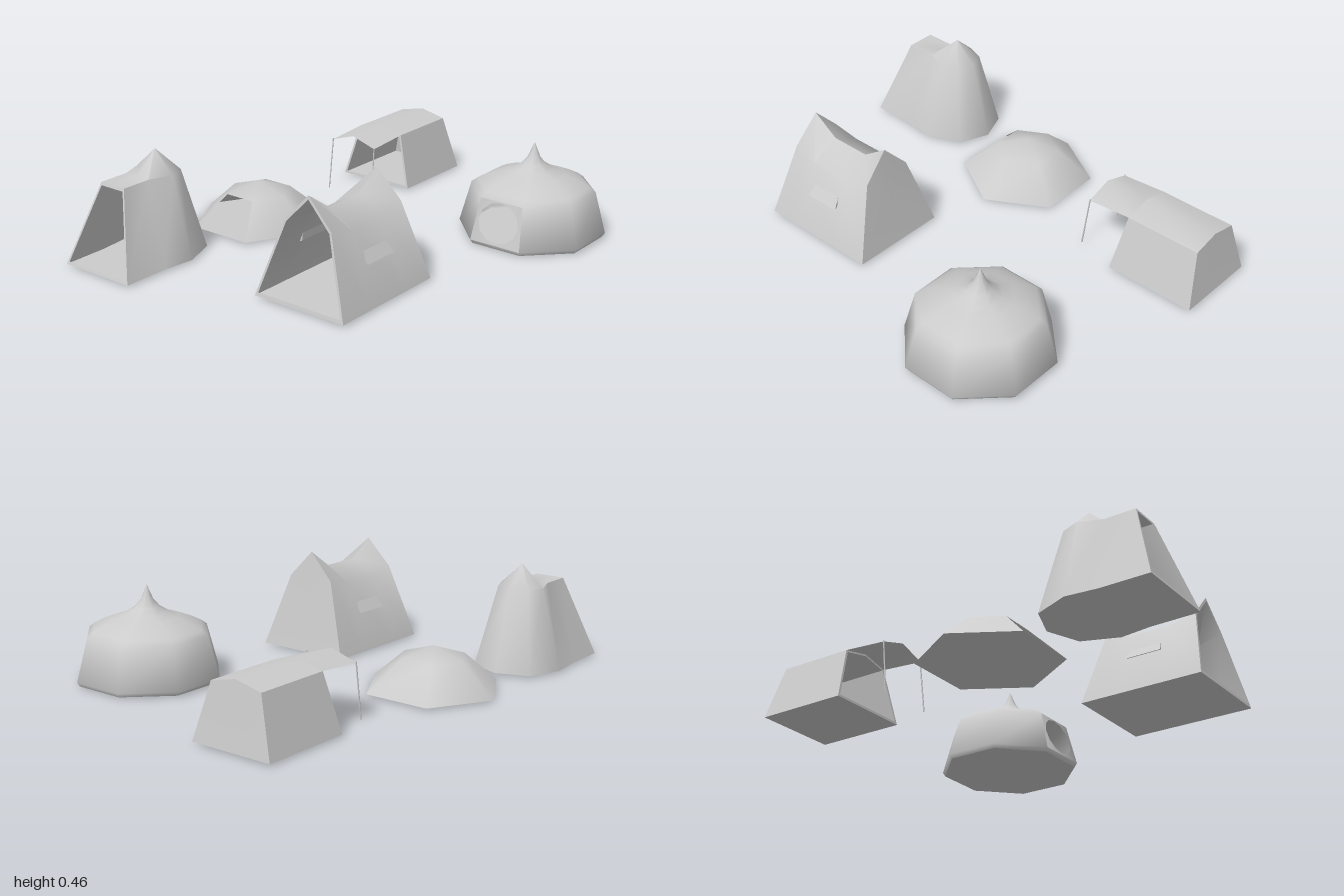
import * as THREE from 'three';
import { toCreasedNormals } from 'three/addons/utils/BufferGeometryUtils.js';
import { ConvexGeometry } from 'three/addons/geometries/ConvexGeometry.js';

const material = new THREE.MeshStandardMaterial({ color: 0xcccccc, side: THREE.DoubleSide });
const BASE = 0.008;

function mesh(name, geometry) {
  const m = new THREE.Mesh(geometry, material);
  m.name = name;
  return m;
}

// Skin between successive rows of points; skip(row, column) leaves a panel open
function loft(rows, { closed = false, crease = 0.8, skip = () => false } = {}) {
  const pos = [];
  const tri = (a, b, c) => {
    const [p, q, r] = [a, b, c].map(v => new THREE.Vector3(...v));
    if (q.sub(p).cross(r.sub(p)).length() > 1e-8) pos.push(...a, ...b, ...c);
  };
  for (let j = 0; j < rows.length - 1; j++) {
    const a = rows[j], b = rows[j + 1], n = a.length;
    for (let i = 0; i < (closed ? n : n - 1); i++) {
      if (skip(j, i)) continue;
      const k = (i + 1) % n;
      tri(a[i], a[k], b[k]);
      tri(a[i], b[k], b[i]);
    }
  }
  const g = new THREE.BufferGeometry();
  g.setAttribute('position', new THREE.Float32BufferAttribute(pos, 3));
  return toCreasedNormals(g, crease);
}

const centre = pts => [0, 1, 2].map(k => pts.reduce((s, p) => s + p[k], 0) / pts.length);

// Flat panel filling an outline
function panel(pts) {
  const c = centre(pts);
  return loft([pts, pts.map(() => c)], { closed: true });
}

// Narrow border around an open doorway
function doorFrame(pts, scale = 0.93) {
  const c = centre(pts);
  return loft([pts, pts.map(p => p.map((v, k) => c[k] + (v - c[k]) * scale))], { closed: true });
}

// Regular ring of points; apothem or radius as given
function ring(cx, cz, y, r, n, start) {
  return Array.from({ length: n }, (_, i) => {
    const t = start + (i / n) * Math.PI * 2;
    return [cx + r * Math.cos(t), y, cz - r * Math.sin(t)];
  });
}

// Gabled cross-section: x, y and half width at base, shoulder and ridge
function gable(cz, [bx, sx, rx], [sy, ry], [bw, sw]) {
  return [[bx, BASE, cz - bw], [sx, sy, cz - sw], [rx, ry, cz], [sx, sy, cz + sw], [bx, BASE, cz + bw]];
}

// Tent with two peaks, a sagging ridge and hooded vents
function twinPeakTent() {
  const g = new THREE.Group();
  g.name = 'twinPeakTent';
  const cz = 0.25;
  const s = [
    gable(cz, [-0.755, -0.69, -0.683], [0.335, 0.455], [0.222, 0.115]),
    gable(cz, [-0.6, -0.57, -0.565], [0.305, 0.375], [0.222, 0.125]),
    gable(cz, [-0.36, -0.38, -0.38], [0.305, 0.375], [0.222, 0.125]),
    gable(cz, [-0.195, -0.255, -0.262], [0.335, 0.455], [0.222, 0.115]),
  ];
  g.add(mesh('canvas', loft(s)));
  g.add(mesh('endWall', panel(s[3])));
  g.add(mesh('doorFrame', doorFrame(s[0])));
  g.add(mesh('floor', panel([s[0][0], s[0][4], s[3][4], s[3][0]])));
  for (const side of [-1, 1]) {
    const pts = [];
    for (const e of [-1, 1]) {
      pts.push(new THREE.Vector3(-0.472 + e * 0.07, 0.222, cz + side * 0.152));
      pts.push(new THREE.Vector3(-0.472 + e * 0.083, 0.176, cz + side * 0.184));
      pts.push(new THREE.Vector3(-0.472 + e * 0.072, 0.188, cz + side * 0.155));
    }
    g.add(mesh('ventHood', new ConvexGeometry(pts)));
  }
  return g;
}

// Tent with a pointed round end and a flat-topped entrance
function bellEndTent() {
  const g = new THREE.Group();
  g.name = 'bellEndTent';
  const cz = -0.612;
  const mirror = (half, y) => [
    ...half.map(([x, w]) => [x, y, cz + w]),
    ...half.slice(0, -1).reverse().map(([x, w]) => [x, y, cz - w]),
  ];
  const base = mirror([[-1, 0.18], [-0.79, 0.182], [-0.655, 0.198], [-0.505, 0.14], [-0.45, 0]], BASE);
  const eave = mirror([[-0.885, 0.066], [-0.75, 0.066], [-0.65, 0.104], [-0.575, 0.075], [-0.545, 0]], 0.36);
  const top = eave.map(([x, y], i) => (i < 2 || i > 6 ? [x, y, cz] : [-0.645, 0.455, cz]));
  g.add(mesh('canvas', loft([base, eave, top], { crease: 1 })));
  g.add(mesh('doorFrame', doorFrame([base[0], eave[0], eave[8], base[8]])));
  g.add(mesh('floor', panel(base)));
  return g;
}

// Low six-sided shelter with one side open
function hexShelter() {
  const g = new THREE.Group();
  g.name = 'hexShelter';
  const r = (y, rad) => ring(-0.122, -0.516, y, rad, 6, Math.PI / 6);
  const rows = [r(BASE, 0.298), r(0.14, 0.145), r(0.186, 0)];
  g.add(mesh('canvas', loft(rows, { closed: true, crease: 1.1, skip: (j, i) => j === 0 && i === 2 })));
  g.add(mesh('floor', panel(rows[0])));
  return g;
}

// Gabled tent whose roof runs on as a porch held by two poles
function porchTent() {
  const g = new THREE.Group();
  g.name = 'porchTent';
  const cz = -0.409;
  const s = [[0.588, 0.62], [1, 0.965]].map(([b, t]) => gable(cz, [b, t, t], [0.25, 0.277], [0.19, 0.122]));
  g.add(mesh('canvas', loft(s)));
  g.add(mesh('endWall', panel(s[1])));
  g.add(mesh('doorFrame', doorFrame(s[0])));
  g.add(mesh('floor', panel([s[0][0], s[0][4], s[1][4], s[1][0]])));
  const edge = [[0.415, 0.235, cz - 0.122], [0.415, 0.274, cz], [0.415, 0.235, cz + 0.122]];
  g.add(mesh('porchRoof', loft([edge, s[0].slice(1, 4)])));
  for (const side of [-1, 1]) {
    const path = new THREE.LineCurve3(
      new THREE.Vector3(0.39, 0, cz + side * 0.126), new THREE.Vector3(0.417, 0.24, cz + side * 0.121));
    g.add(mesh('pole', new THREE.TubeGeometry(path, 1, 0.003, 6)));
  }
  return g;
}

// Eight-sided domed tent with a finial point and a round doorway
function domeTent() {
  const g = new THREE.Group();
  g.name = 'domeTent';
  const c = 0.51, k = Math.cos(Math.PI / 8);
  const profile = [[0.285, 0.004], [0.296, 0.022], [0.25, 0.205], [0.225, 0.225], [0.18, 0.25], [0.13, 0.272],
    [0.085, 0.288], [0.05, 0.312], [0.026, 0.342], [0.013, 0.375], [0, 0.408]];
  const rows = profile.map(([a, y]) => ring(c, c, y, a / k, 8, Math.PI / 8));
  g.add(mesh('canvas', loft(rows, { closed: true, crease: 1.1, skip: (j, i) => j === 1 && i === 3 })));
  g.add(mesh('floor', panel(rows[0])));

  // Wall panel pierced by the doorway, laid onto the sloping side
  const [[a0, y0], [a1, y1]] = profile.slice(1, 3);
  const t = Math.tan(Math.PI / 8);
  const shape = new THREE.Shape([[-a0 * t, y0], [a0 * t, y0], [a1 * t, y1], [-a1 * t, y1]]
    .map(p => new THREE.Vector2(...p)));
  shape.holes.push(new THREE.Path().absellipse(0, 0.116, 0.098, 0.085, 0, Math.PI * 2, true));
  const geo = new THREE.ShapeGeometry(shape, 6);
  const p = geo.attributes.position, n = new THREE.Vector3();
  for (let i = 0; i < p.count; i++) {
    const u = p.getX(i), y = p.getY(i);
    const a = a0 + (a1 - a0) * (y - y0) / (y1 - y0);
    p.setXYZ(i, c - a, y, c + u);
    n.set(-a, 0.25 * a, u).normalize();
    geo.attributes.normal.setXYZ(i, n.x, n.y, n.z);
  }
  g.add(mesh('doorPanel', geo));
  return g;
}

export function createModel() {
  const model = new THREE.Group();
  model.name = 'tentCamp';
  model.add(twinPeakTent(), bellEndTent(), hexShelter(), porchTent(), domeTent());
  return model;
}
